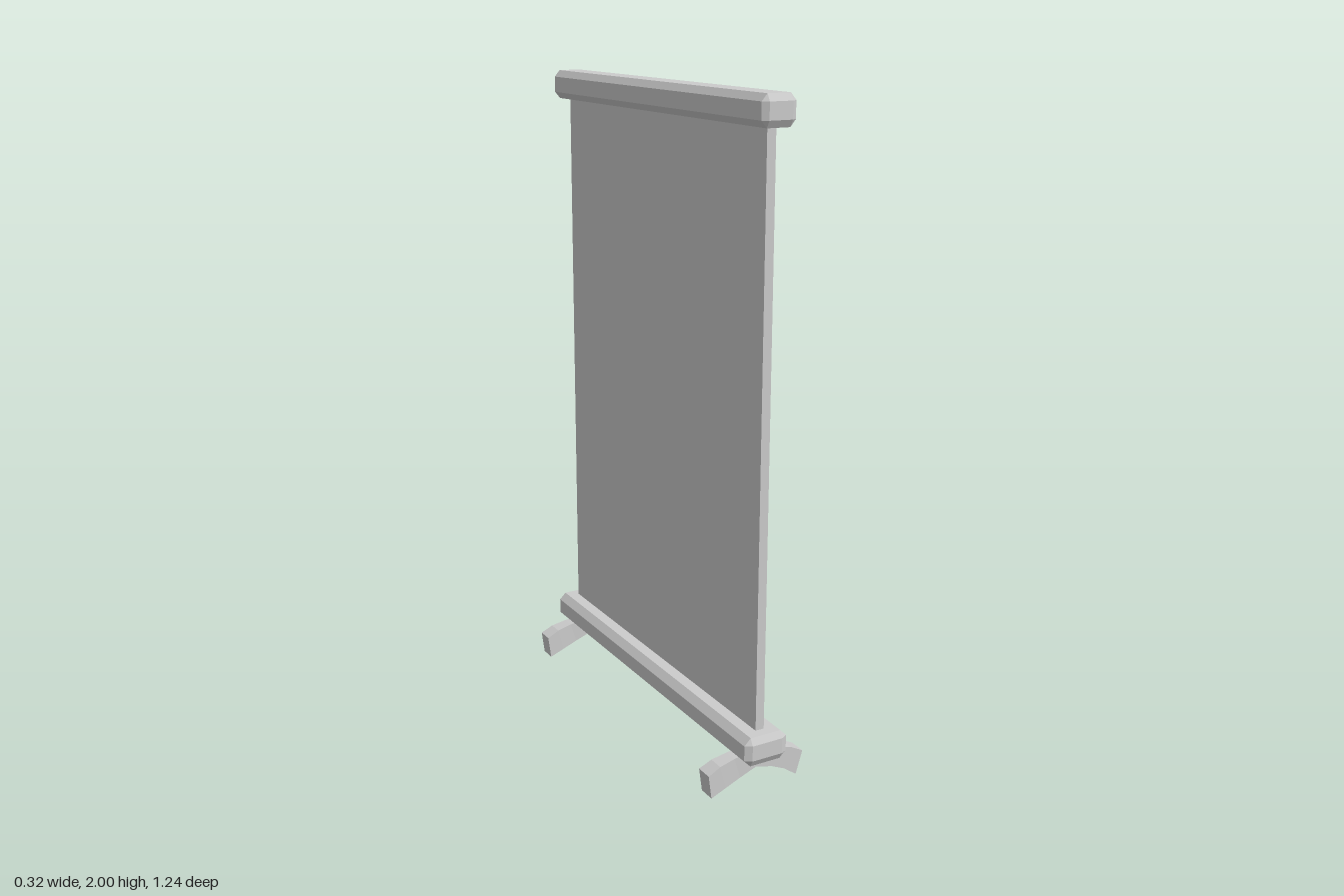
import * as THREE from 'three';
import { ConvexGeometry } from 'three/addons/geometries/ConvexGeometry.js';

const material = new THREE.MeshStandardMaterial({ color: 0xcccccc, flatShading: true });

function part(name, geometry, x = 0, y = 0, z = 0) {
  const mesh = new THREE.Mesh(geometry, material);
  mesh.name = name;
  mesh.position.set(x, y, z);
  return mesh;
}

// Box with every edge chamfered: three points at each corner
function chamferedBox(w, h, d, cx, cy, cz) {
  const points = [];
  for (const x of [-1, 1]) for (const y of [-1, 1]) for (const z of [-1, 1]) {
    const X = w / 2, Y = h / 2, Z = d / 2;
    points.push(
      new THREE.Vector3(x * X, y * (Y - cy), z * (Z - cz)),
      new THREE.Vector3(x * (X - cx), y * Y, z * (Z - cz)),
      new THREE.Vector3(x * (X - cx), y * (Y - cy), z * Z));
  }
  return new ConvexGeometry(points);
}

// Arched foot: a segmented box whose slices follow the listed sections
// Each section: top x, top y, bottom x, bottom y, half width
const footSections = [
  [-0.165, 0.078, -0.155, 0.005, 0.027],
  [-0.125, 0.097, -0.105, 0.024, 0.025],
  [-0.075, 0.108, -0.055, 0.042, 0.022],
  [0, 0.12, 0, 0.062, 0.021],
  [0.075, 0.108, 0.055, 0.049, 0.022],
  [0.12, 0.096, 0.098, 0.031, 0.025],
  [0.16, 0.075, 0.138, 0.003, 0.027],
];

function footGeometry() {
  const n = footSections.length - 1;
  const geometry = new THREE.BoxGeometry(n, 1, 1, n, 1, 1);
  const p = geometry.attributes.position;
  for (let i = 0; i < p.count; i++) {
    const [tx, ty, bx, by, half] = footSections[Math.round(p.getX(i) + n / 2)];
    const top = p.getY(i) > 0;
    p.setXYZ(i, top ? tx : bx, top ? ty : by, Math.sign(p.getZ(i)) * half);
  }
  geometry.computeVertexNormals();
  return geometry;
}

export function createModel() {
  const group = new THREE.Group();
  group.name = 'rollUpBannerStand';

  // Display sheet between the two bars
  group.add(part('bannerPanel', new THREE.BoxGeometry(0.028, 1.76, 1.154), 0, 1.05, 0));

  // Top rail and base housing
  group.add(part('topRail', chamferedBox(0.106, 0.088, 1.24, 0.017, 0.02, 0.012), 0, 1.956, 0));
  group.add(part('baseHousing', chamferedBox(0.143, 0.09, 1.24, 0.021, 0.021, 0.012), 0, 0.145, 0));

  // One foot near each end
  const foot = footGeometry();
  for (const side of [-1, 1]) {
    group.add(part(side > 0 ? 'frontFoot' : 'backFoot', foot, 0, 0, side * 0.54));
  }
  return group;
}
